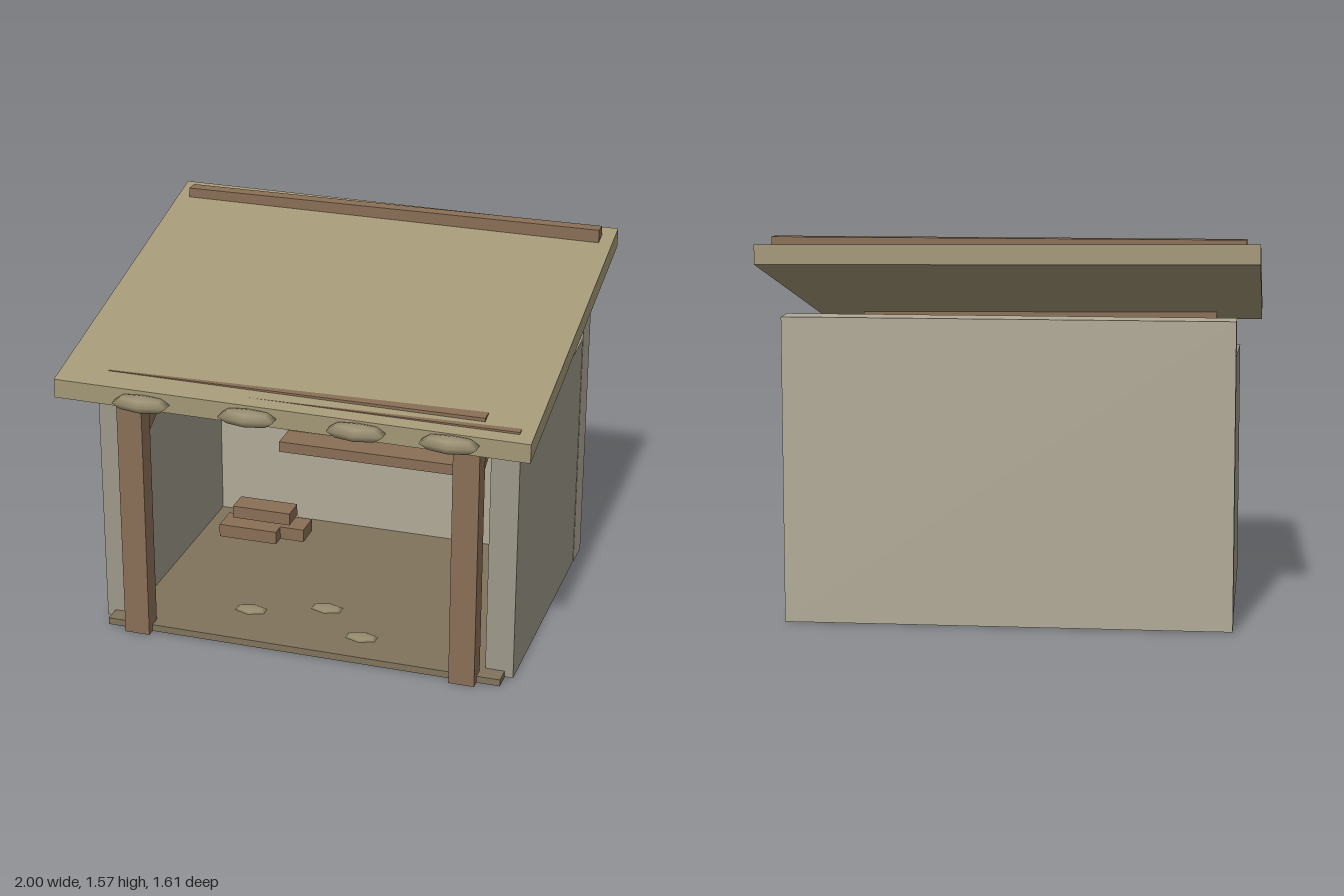
import * as THREE from 'three';

export function createModel() {
  const model = new THREE.Group();
  const mat = (color) => new THREE.MeshStandardMaterial({ color });
  const wood = mat(0x8a6f56), sideStone = mat(0x9e988a), backStone = mat(0xb1aa97);
  const roofMat = mat(0xa39877), floorMat = mat(0x81735c), pebbleMat = mat(0x968b6e);

  function add(name, geometry, material) {
    const mesh = new THREE.Mesh(geometry, material);
    mesh.name = name;
    model.add(mesh);
    return mesh;
  }
  // Box given by its limits on each axis
  function box(name, material, [x0, x1], [y0, y1], [z0, z1]) {
    const mesh = add(name, new THREE.BoxGeometry(x1 - x0, y1 - y0, z1 - z0), material);
    mesh.position.set((x0 + x1) / 2, (y0 + y1) / 2, (z0 + z1) / 2);
    return mesh;
  }
  // Side profile of [z, y] points, extruded along x from x0 to x1
  function sidePanel(name, material, points, x0, x1) {
    const shape = new THREE.Shape(points.map(([z, y]) => new THREE.Vector2(-z, y)));
    const g = new THREE.ExtrudeGeometry(shape, { depth: x1 - x0, bevelEnabled: false });
    g.rotateY(Math.PI / 2).translate(x0, 0, 0);
    return add(name, g, material);
  }
  // Flattened stone with six sides, pointed to the front
  function stone(name, x, y, z, rx, ry, rz) {
    const mesh = add(name, new THREE.SphereGeometry(1, 6, 4).rotateY(Math.PI / 2), pebbleMat);
    mesh.scale.set(rx, ry, rz);
    mesh.position.set(x, y, z);
  }

  // Floor and walls
  box('floor', floorMat, [-0.87, 0.87], [0, 0.03], [-0.61, 0.58]);
  box('backWall', backStone, [-0.908, 0.908], [0.003, 1.25], [-0.745, -0.605]);
  const wallProfile = [[0.503, 0.003], [0.503, 1.016], [-0.74, 1.1], [-0.74, 0.003]];
  sidePanel('leftWall', sideStone, wallProfile, 0.787, 0.906);
  sidePanel('rightWall', sideStone, wallProfile, -0.906, -0.787);

  // Front posts with braces rising to the back
  for (const [side, x] of [['left', 0.715], ['right', -0.722]]) {
    box(side + 'Post', wood, [x - 0.055, x + 0.055], [0, 1.13], [0.53, 0.618]);
    sidePanel(side + 'Brace', wood,
      [[0.54, 0.885], [0.54, 0.973], [0.284, 1.104], [0.284, 1.016]], x - 0.04, x + 0.04);
  }
  box('frontBeam', wood, [-0.8, 0.79], [1.125, 1.213], [0.517, 0.627]);

  // Roof slab, sheared up towards the back and slightly down to +x
  const roof = new THREE.BoxGeometry(2, 0.08, 1.533);
  const p = roof.attributes.position;
  for (let i = 0; i < p.count; i++) {
    const z = p.getZ(i) - 0.0385;
    p.setZ(i, z);
    p.setY(i, p.getY(i) + 1.14 + 0.242 * (0.728 - z) - 0.008 * p.getX(i));
  }
  roof.computeVertexNormals();
  add('roof', roof, roofMat);
  box('backBatten', wood, [-0.945, 0.942], [1.51, 1.57], [-0.74, -0.68]);
  box('frontBatten', wood, [-0.945, 0.942], [1.14, 1.194], [0.615, 0.676]);

  // Stones along the eave
  for (const x of [-0.61, -0.155, 0.3, 0.68]) stone('eaveStone', x, 1.14, 0.753, 0.134, 0.036, 0.052);
  // Flat stones on the floor
  for (const [x, z] of [[-0.31, 0.32], [0, 0.21], [0.22, 0.41]]) stone('floorStone', x, 0.028, z, 0.08, 0.013, 0.05);

  // Shelf on the back wall and stacked blocks
  box('shelf', wood, [-0.455, 0.452], [0.42, 0.47], [-0.61, -0.47]);
  box('lowerBlock', wood, [-0.67, -0.397], [0.06, 0.12], [-0.38, -0.25]);
  box('smallBlock', wood, [-0.4, -0.285], [0.06, 0.12], [-0.43, -0.31]);
  box('upperBlock', wood, [-0.61, -0.338], [0.155, 0.212], [-0.38, -0.27]);

  return model;
}
